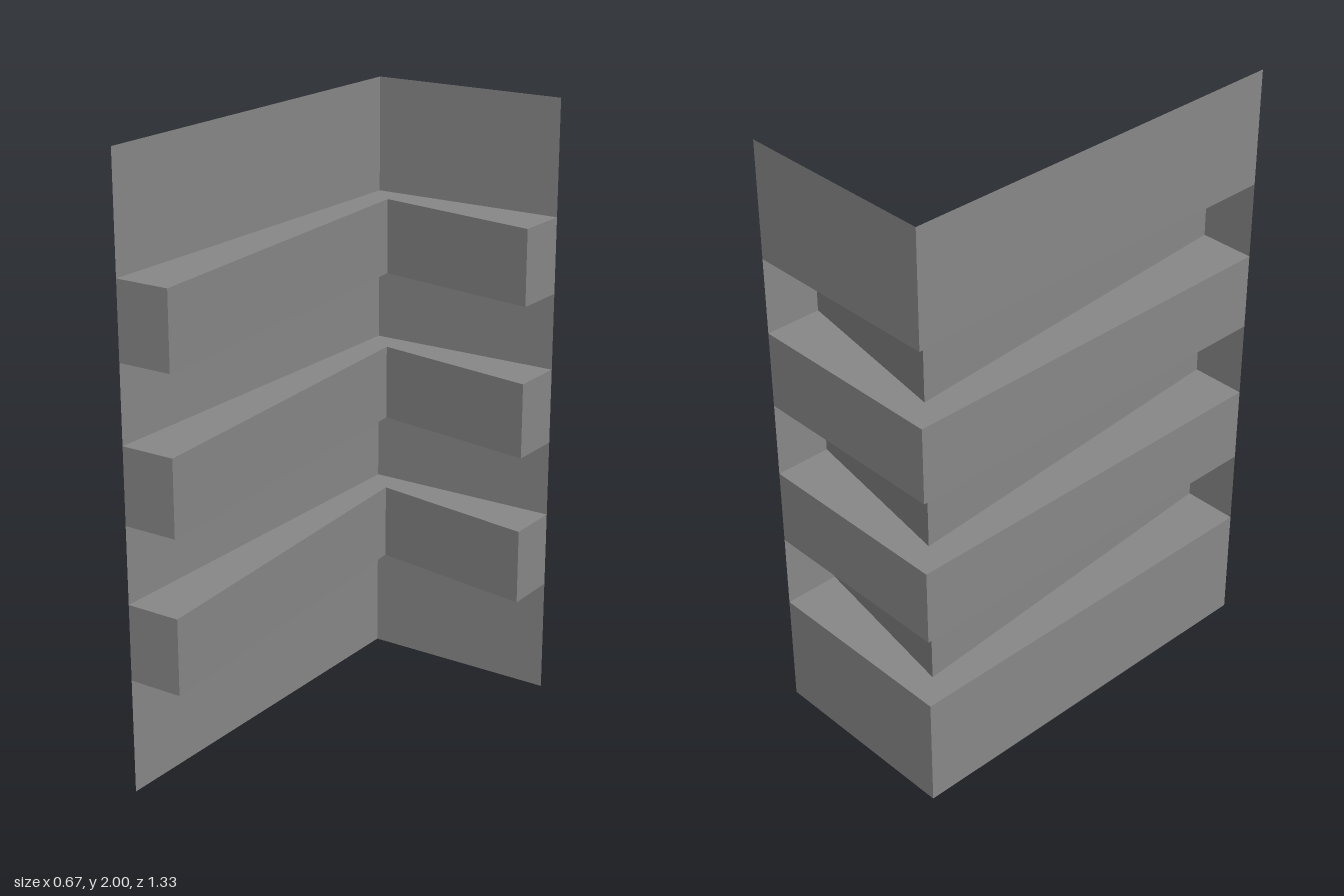
import * as THREE from 'three';

const HX = 0.333, HZ = 0.667, HEIGHT = 2;

// Plan paths as [x, z]: the outer corner wall, and the step that is pushed inwards
const wallPath = [[-HX, HZ], [-HX, -HZ], [HX, -HZ]];
const stepPath = [[-HX, HZ], [-0.149, HZ], [-0.241, -0.576], [HX, -0.483], [HX, -HZ]];

const material = new THREE.MeshStandardMaterial({
  color: 0x888888, flatShading: true, side: THREE.DoubleSide,
});

function addMesh(group, name, geometry) {
  const mesh = new THREE.Mesh(geometry, material);
  mesh.name = name;
  group.add(mesh);
  return mesh;
}

// Vertical sheet that follows a plan path from y0 to y1
function sheet(path, y0, y1) {
  const pos = [];
  for (let i = 0; i < path.length - 1; i++) {
    const [ax, az] = path[i], [bx, bz] = path[i + 1];
    pos.push(ax, y0, az, bx, y0, bz, bx, y1, bz);
    pos.push(ax, y0, az, bx, y1, bz, ax, y1, az);
  }
  const geometry = new THREE.BufferGeometry();
  geometry.setAttribute('position', new THREE.Float32BufferAttribute(pos, 3));
  geometry.computeVertexNormals();
  return geometry;
}

// Horizontal ledge that joins the outer wall to the step
function ledge() {
  const outline = [...stepPath, wallPath[1]].map(([x, z]) => new THREE.Vector2(x, z));
  return new THREE.ShapeGeometry(new THREE.Shape(outline)).rotateX(Math.PI / 2);
}

export function createModel() {
  const group = new THREE.Group();
  group.name = 'foldedCornerScreen';

  let y = 0;
  for (let i = 0; i < 3; i++) {
    const low = 0.377 + i * 0.5, high = low + 0.248;
    addMesh(group, 'wallBand', sheet(wallPath, y, low));
    // Hollow step, closed at its ends and open at the back
    addMesh(group, 'step', sheet(stepPath, low, high));
    addMesh(group, 'lowerLedge', ledge()).position.y = low;
    addMesh(group, 'upperLedge', ledge()).position.y = high;
    y = high;
  }
  addMesh(group, 'topWallBand', sheet(wallPath, y, HEIGHT));
  return group;
}
